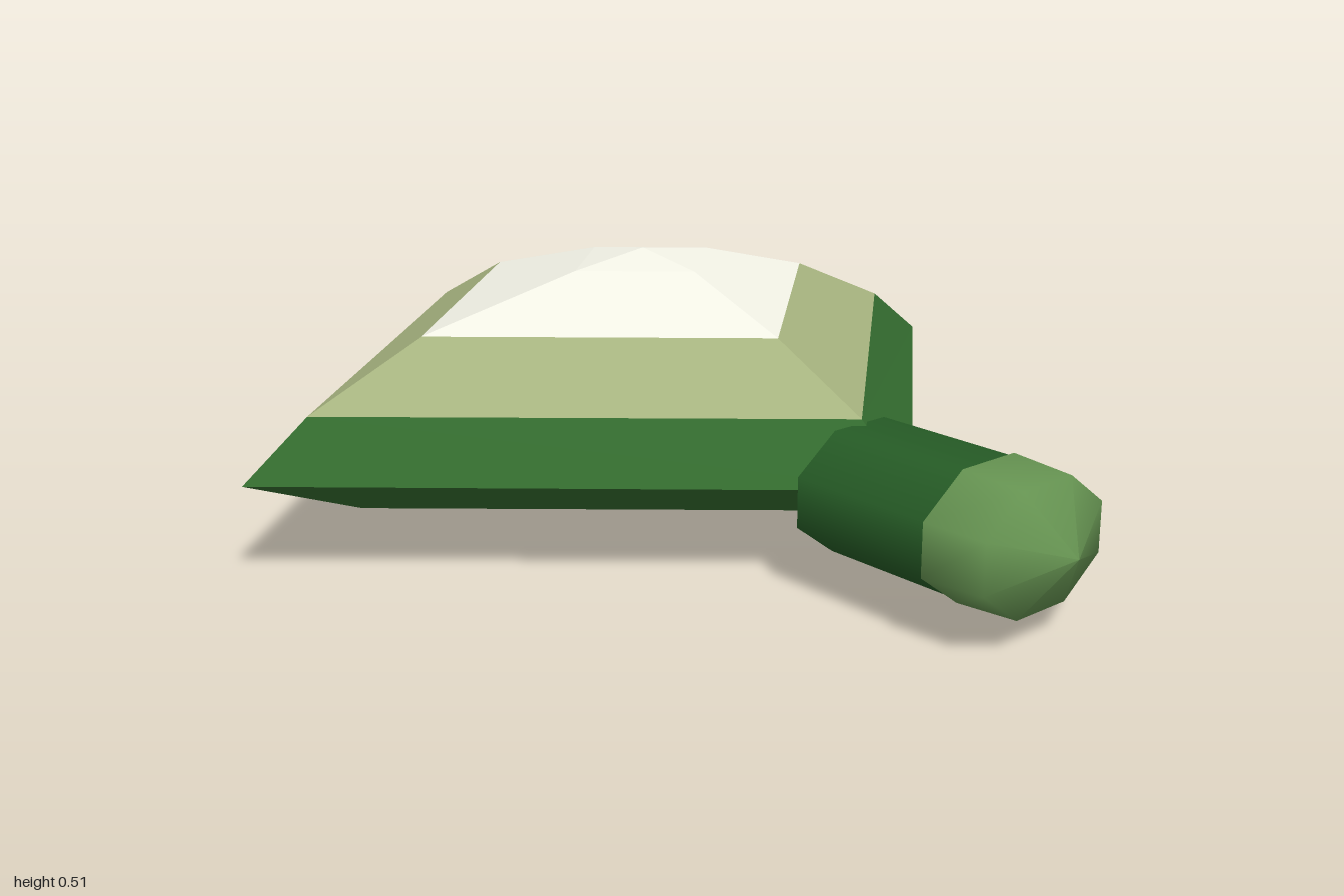
import * as THREE from 'three';

// Diamond-shaped cross-sections: height, half width, half depth, sideways shift
const BODY_Z = -0.185;
const rings = {
  foot: [0.0, 0, 0, 0],
  lower: [0.1, 0.66, 0.59, 0],
  girdle: [0.2, 0.905, 0.815, 0],
  upper: [0.305, 0.765, 0.685, 0],
  shoulder: [0.415, 0.51, 0.46, 0],
  crown: [0.49, 0.18, 0.165, 0.045],
  peak: [0.515, 0, 0, 0.045],
};

function corner([y, rx, rz, cx], i) {
  const a = (i % 4) * Math.PI / 2;
  return [cx + rx * Math.sin(a), y, BODY_Z + rz * Math.cos(a)];
}

// Facets joining a stack of rings, listed from bottom to top
function facets(name, stack, color) {
  const pos = [];
  for (let s = 0; s < stack.length - 1; s++) {
    const [lo, hi] = [stack[s], stack[s + 1]];
    for (let i = 0; i < 4; i++) {
      const a = corner(lo, i), b = corner(lo, i + 1);
      const c = corner(hi, i + 1), d = corner(hi, i);
      if (lo[1] > 0) pos.push(...a, ...b, ...d);
      if (hi[1] > 0) pos.push(...b, ...c, ...d);
    }
  }
  const geo = new THREE.BufferGeometry();
  geo.setAttribute('position', new THREE.Float32BufferAttribute(pos, 3));
  geo.computeVertexNormals();
  return part(name, geo, color, true);
}

function part(name, geo, color, flatShading = false) {
  const mesh = new THREE.Mesh(geo, new THREE.MeshStandardMaterial({ color, flatShading }));
  mesh.name = name;
  return mesh;
}

// Lay an upright octagonal shape along z and flatten it to an oval section
function layAlongZ(geo, z) {
  return geo.rotateX(Math.PI / 2).scale(1, 0.742, 1).translate(0, 0.178, z);
}

export function createModel() {
  const group = new THREE.Group();
  const r = rings;

  // Faceted body in coloured bands
  group.add(
    facets('shell', [r.foot, r.lower, r.girdle, r.upper], 0x336a2e),
    facets('paleBand', [r.upper, r.shoulder], 0xa6b37f),
    facets('whiteTop', [r.shoulder, r.crown, r.peak], 0xf2f2e6),
  );

  // Neck
  const neck = new THREE.CylinderGeometry(0.171, 0.171, 0.31, 8, 1, false, Math.PI / 8);
  group.add(part('neck', layAlongZ(neck, 0.65), 0x265c26));

  // Head: slightly tapered collar closing to a blunt point
  const profile = [[0.1785, 0], [0.168, 0.128], [0, 0.2]].map(p => new THREE.Vector2(...p));
  const head = new THREE.LatheGeometry(profile, 8, Math.PI / 8);
  group.add(part('head', layAlongZ(head, 0.8), 0x649150));

  // Back of the head around the neck
  const back = new THREE.CircleGeometry(0.1785, 8, Math.PI / 8).rotateX(Math.PI / 2);
  group.add(part('headBack', layAlongZ(back, 0.8), 0x649150));

  return group;
}
